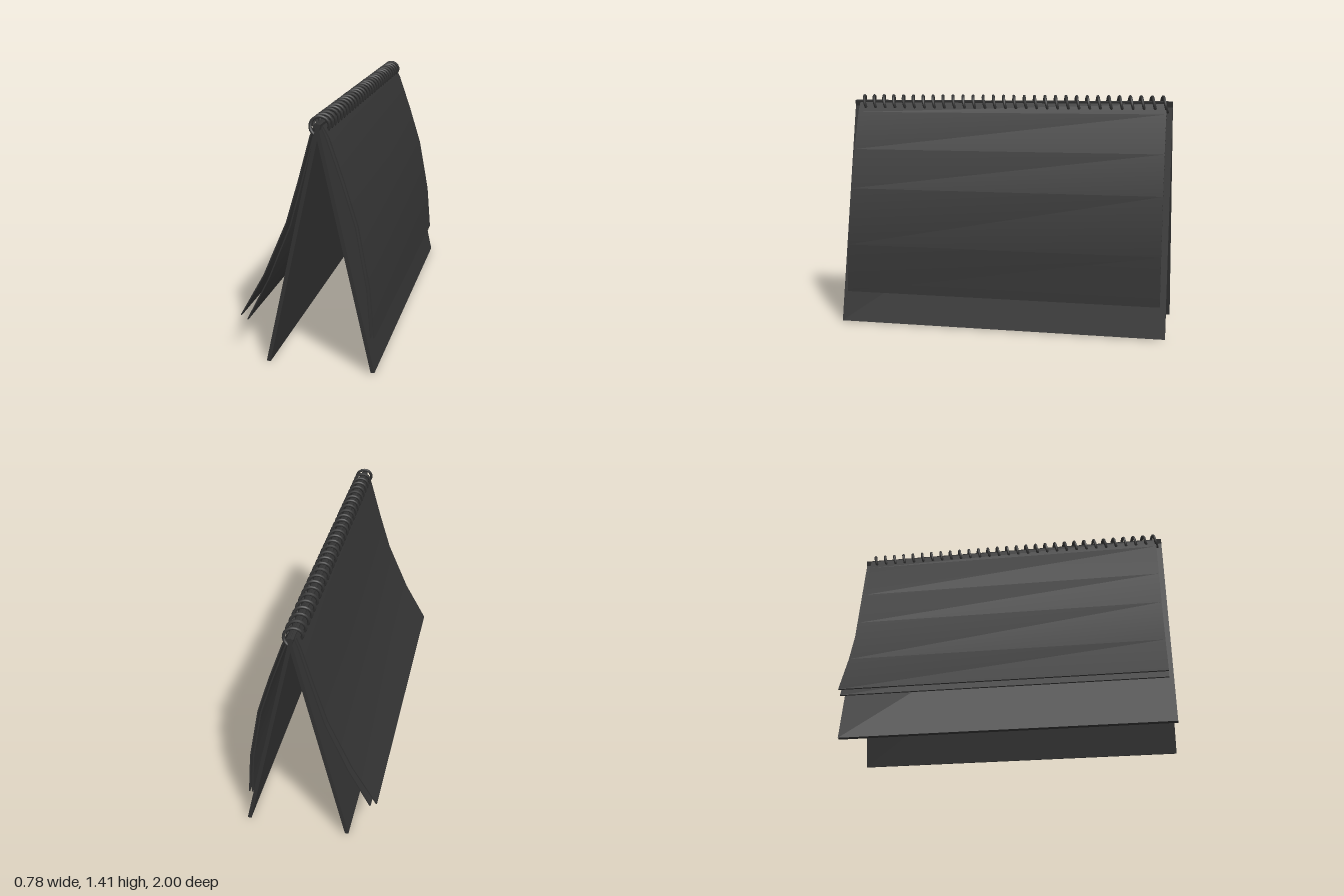
import * as THREE from 'three';
import { toCreasedNormals } from 'three/addons/utils/BufferGeometryUtils.js';

const material = new THREE.MeshStandardMaterial({ color: 0x333333 });

// Sheet of even thickness following a side profile, running along z
function sheet(name, points, thickness, depth) {
  const path = points.map(([x, y]) => new THREE.Vector2(x, y));
  const left = [], right = [];
  path.forEach((p, i) => {
    const before = path[Math.max(i - 1, 0)];
    const after = path[Math.min(i + 1, path.length - 1)];
    const dir = after.clone().sub(before).normalize();
    const offset = new THREE.Vector2(-dir.y, dir.x).multiplyScalar(thickness / 2);
    left.push(p.clone().add(offset));
    right.unshift(p.clone().sub(offset));
  });
  const geometry = new THREE.ExtrudeGeometry(new THREE.Shape([...left, ...right]), {
    depth, bevelEnabled: false,
  });
  geometry.translate(0, 0, -depth / 2);
  const mesh = new THREE.Mesh(toCreasedNormals(geometry, 0.5), material);
  mesh.name = name;
  return mesh;
}

// Spiral wire wound around an axis along z
class Spiral extends THREE.Curve {
  constructor(x, y, radius, turns, length) {
    super();
    Object.assign(this, { x, y, radius, turns, length });
  }
  getPoint(t, target = new THREE.Vector3()) {
    const a = -Math.PI / 2 - t * this.turns * Math.PI * 2;
    return target.set(
      this.x + this.radius * Math.cos(a),
      this.y + this.radius * Math.sin(a),
      this.length * (0.5 - t),
    );
  }
}

export function createModel() {
  const group = new THREE.Group();

  // Stiff boards of the easel stand
  group.add(
    sheet('standBoardLeft', [[0.068, 1.375], [0.377, 0.003]], 0.022, 2),
    sheet('standBoardRight', [[0.083, 1.375], [-0.22, 0.003]], 0.022, 2),
  );

  // Curved pages hanging over both sides
  const pages = {
    pageLeftOuter: [[0.095, 1.36], [0.13, 1.3], [0.21, 1.07], [0.285, 0.83], [0.35, 0.485], [0.375, 0.193]],
    pageLeftInner: [[0.085, 1.36], [0.115, 1.29], [0.195, 1.06], [0.27, 0.82], [0.333, 0.475], [0.356, 0.193]],
    pageRightOuter: [[0.05, 1.36], [0.028, 1.3], [-0.038, 1.06], [-0.11, 0.82], [-0.245, 0.505], [-0.387, 0.25]],
    pageRightInner: [[0.065, 1.36], [0.045, 1.3], [-0.018, 1.06], [-0.088, 0.805], [-0.218, 0.485], [-0.35, 0.226]],
  };
  for (const [name, points] of Object.entries(pages)) group.add(sheet(name, points, 0.007, 1.93));

  // Spiral binding
  const turns = 30;
  const wire = new THREE.Mesh(
    new THREE.TubeGeometry(new Spiral(0.074, 1.357, 0.047, turns, 1.95), turns * 18, 0.009, 8),
    material,
  );
  wire.name = 'spiralBinding';
  group.add(wire);

  // Flat caps on the wire ends
  for (const side of [1, -1]) {
    const cap = new THREE.Mesh(new THREE.SphereGeometry(0.009, 8, 6), material);
    cap.position.set(0.074, 1.31, side * 0.975);
    cap.name = 'wireEnd';
    group.add(cap);
  }
  return group;
}
